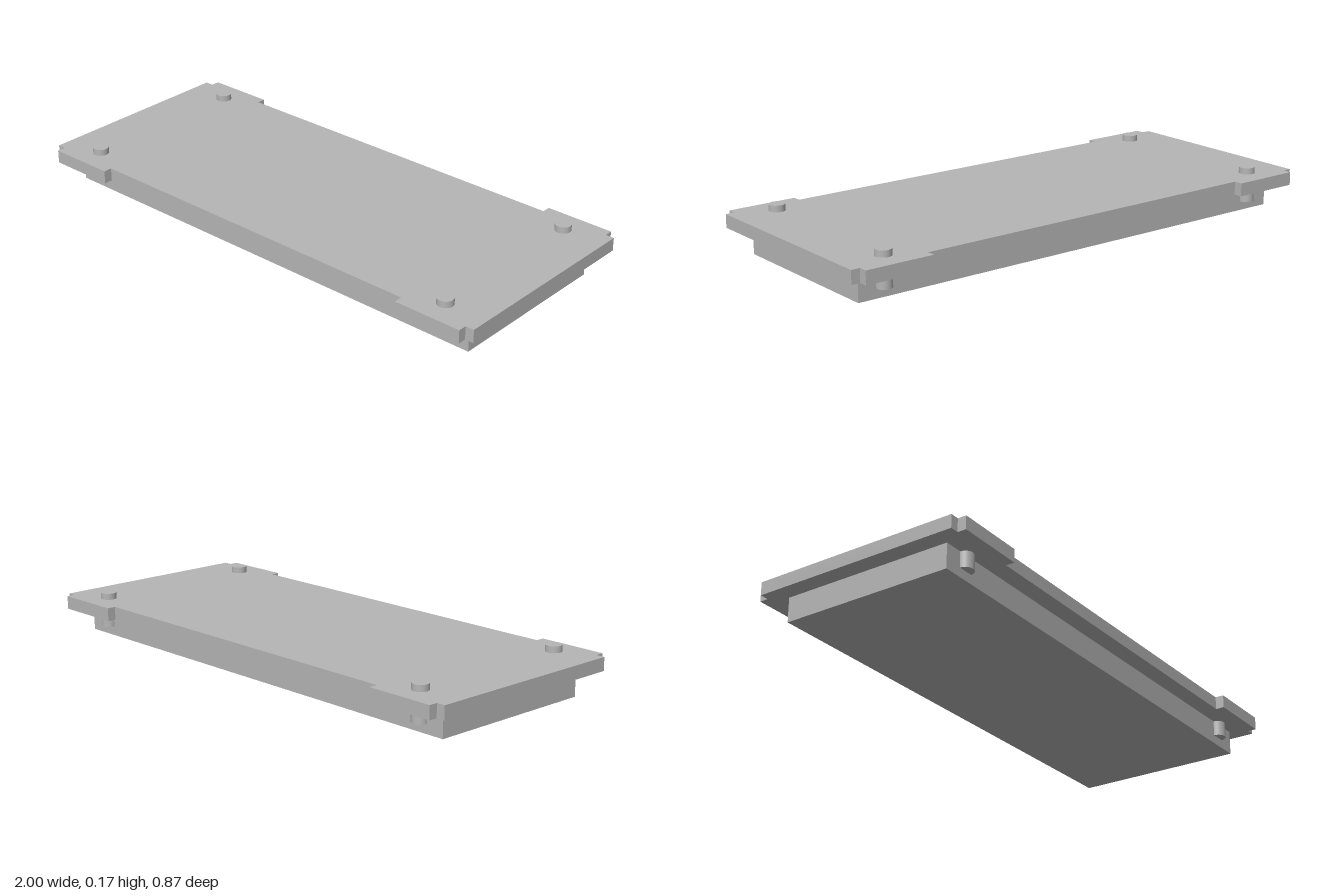
import * as THREE from 'three';

export function createModel() {
  const model = new THREE.Group();
  const grey = new THREE.MeshStandardMaterial({ color: 0xb5b5b5 });
  grey.name = 'plain grey';

  const add = (name, geometry, x, y, z) => {
    const mesh = new THREE.Mesh(geometry, grey);
    mesh.name = name;
    mesh.position.set(x, y, z);
    model.add(mesh);
  };

  const plateBottom = 0.093, plateTop = 0.143;

  // Lower body
  add('base', new THREE.BoxGeometry(1.866, plateBottom, 0.666), 0, plateBottom / 2, 0);

  // Cover plate with a shallow tab near each end of both long edges
  const edge = [[1, 0.4], [0.967, 0.4], [0.967, 0.433], [0.703, 0.433], [0.703, 0.4]];
  const half = [...edge, ...edge.map(([x, z]) => [-x, z]).reverse()];
  const outline = [...half, ...half.map(([x, z]) => [-x, -z])];
  const plate = new THREE.ExtrudeGeometry(
    new THREE.Shape(outline.map(([x, z]) => new THREE.Vector2(x, z))),
    { depth: plateTop - plateBottom, bevelEnabled: false }
  );
  plate.rotateX(-Math.PI / 2);
  add('coverPlate', plate, 0, plateBottom, 0);

  // Corner pins passing through the plate
  const pinBottom = 0.034, pinTop = 0.167;
  const pin = new THREE.CylinderGeometry(0.03, 0.03, pinTop - pinBottom, 32);
  for (const x of [-0.833, 0.833]) {
    for (const z of [-0.333, 0.333]) {
      add('cornerPin', pin, x, (pinBottom + pinTop) / 2, z);
    }
  }

  return model;
}
